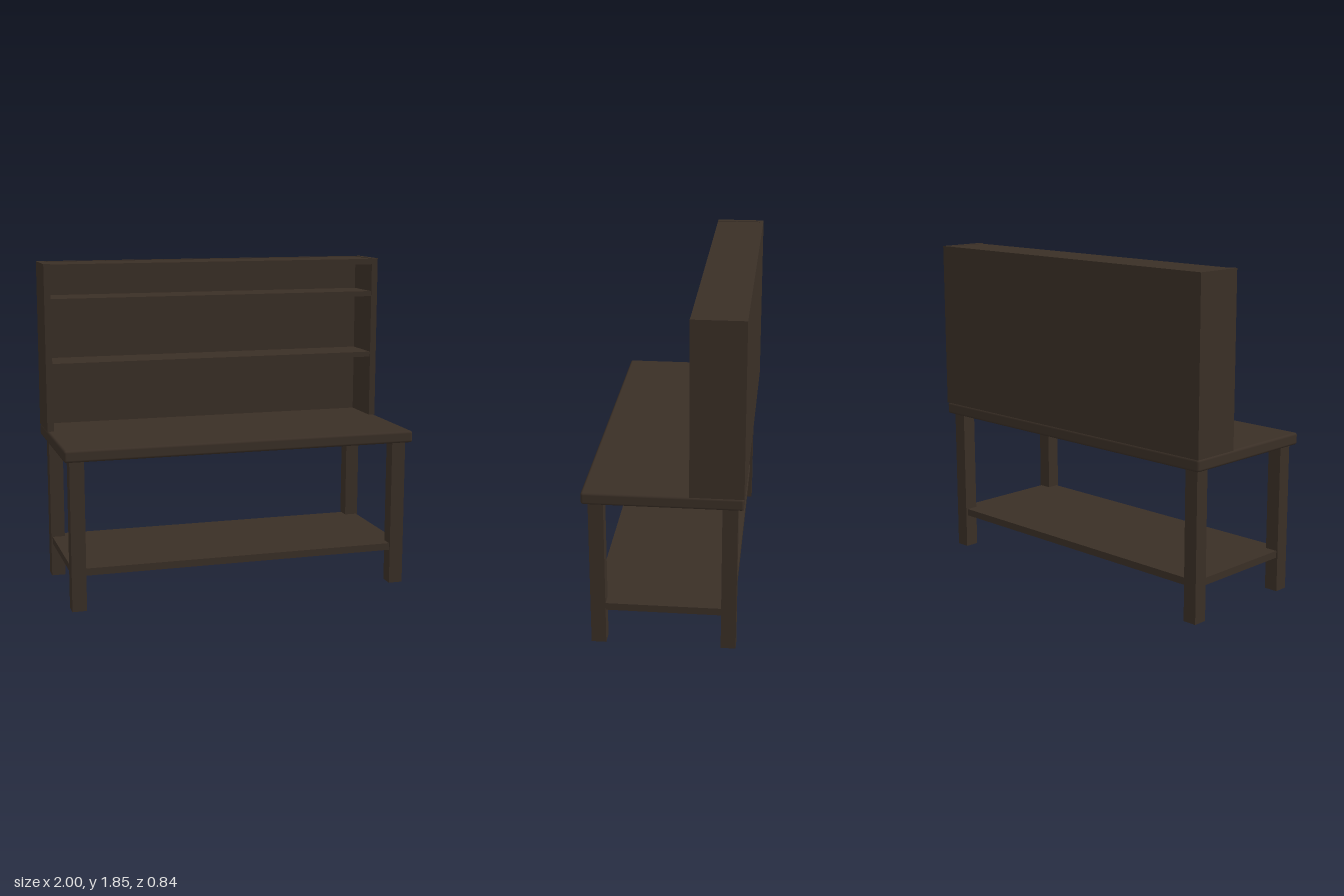
import * as THREE from 'three';
import { RoundedBoxGeometry } from 'three/addons/geometries/RoundedBoxGeometry.js';

export function createModel() {
  const group = new THREE.Group();
  group.name = 'workbench';
  const wood = new THREE.MeshStandardMaterial({ color: 0x3a2f26 });
  wood.name = 'dark wood';

  const place = (name, geometry, x, y, z) => {
    const mesh = new THREE.Mesh(geometry, wood);
    mesh.name = name;
    mesh.position.set(x, y, z);
    group.add(mesh);
  };
  // Box given by its extents along each axis
  const board = (name, [x0, x1], [y0, y1], [z0, z1]) =>
    place(name, new THREE.BoxGeometry(x1 - x0, y1 - y0, z1 - z0),
      (x0 + x1) / 2, (y0 + y1) / 2, (z0 + z1) / 2);

  // Worktop with softened edges
  place('worktop', new RoundedBoxGeometry(2, 0.067, 0.84, 2, 0.014), 0, 0.8655, 0);

  // Four square legs
  for (const sx of [-1, 1]) {
    for (const sz of [-1, 1]) {
      place('leg', new THREE.BoxGeometry(0.08, 0.834, 0.08), sx * 0.928, 0.417, sz * 0.348);
    }
  }

  // Lower shelf, let into the legs
  board('lowerShelf', [-0.96, 0.96], [0.195, 0.235], [-0.375, 0.375]);

  // Hutch: sides, back, top and two shelves
  const front = -0.14, back = -0.42, inner = -0.4;
  board('hutchSideRight', [-1, -0.963], [0.898, 1.845], [inner, front]);
  board('hutchSideLeft', [0.963, 1], [0.898, 1.845], [inner, front]);
  board('hutchBack', [-1, 1], [0.898, 1.845], [back, inner]);
  board('hutchTop', [-0.963, 0.963], [1.81, 1.842], [inner, front]);
  for (const y of [1.255, 1.62]) {
    board('hutchShelf', [-0.963, 0.963], [y, y + 0.03], [inner, front - 0.004]);
  }

  return group;
}
